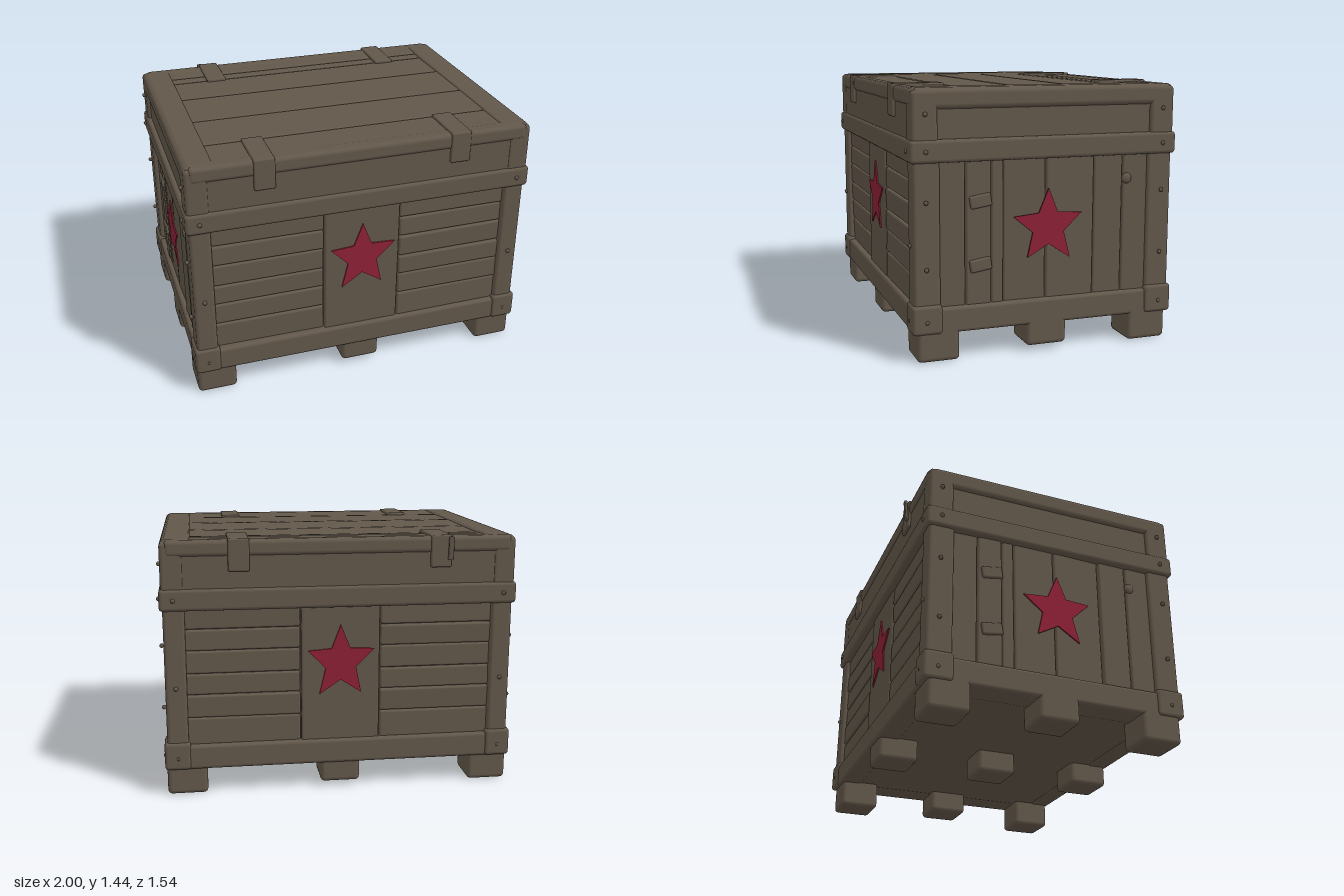
import * as THREE from 'three';
import { RoundedBoxGeometry } from 'three/addons/geometries/RoundedBoxGeometry.js';

const wood = new THREE.MeshStandardMaterial({ color: 0x62574a });
wood.name = 'weathered wood';
const red = new THREE.MeshStandardMaterial({ color: 0x8c2036 });
red.name = 'red paint';

// Small seeded generator for uneven boards
let seed = 7;
const jitter = (amount) => {
  seed = (seed * 16807) % 2147483647;
  return (seed / 2147483647 - 0.5) * 2 * amount;
};

// Rounded board given by its limits on each axis
function board(parent, name, [x0, x1], [y0, y1], [z0, z1], radius = 0.012) {
  const size = [x1 - x0, y1 - y0, z1 - z0];
  const r = Math.min(radius, Math.min(...size) * 0.45);
  const mesh = new THREE.Mesh(new RoundedBoxGeometry(...size, 2, r), wood);
  mesh.position.set((x0 + x1) / 2, (y0 + y1) / 2, (z0 + z1) / 2);
  mesh.name = name;
  parent.add(mesh);
  return mesh;
}

function nail(parent, x, y, z) {
  const mesh = new THREE.Mesh(new THREE.SphereGeometry(0.013, 6, 4), wood);
  mesh.position.set(x, y, z);
  mesh.name = 'nail';
  parent.add(mesh);
}

// Painted star, given by its five tips
function star(parent, tips, z) {
  const cx = tips.reduce((s, p) => s + p[0], 0) / 5;
  const cy = tips.reduce((s, p) => s + p[1], 0) / 5;
  const shape = new THREE.Shape();
  tips.forEach(([x, y], i) => {
    const [nx, ny] = tips[(i + 1) % 5];
    if (i === 0) shape.moveTo(x, y);
    else shape.lineTo(x, y);
    const k = 0.56;
    shape.lineTo(cx + ((x + nx) / 2 - cx) * k, cy + ((y + ny) / 2 - cy) * k);
  });
  shape.closePath();
  const geometry = new THREE.ExtrudeGeometry(shape, { depth: 0.008, bevelEnabled: false });
  const mesh = new THREE.Mesh(geometry, red);
  mesh.position.z = z;
  mesh.name = 'star';
  parent.add(mesh);
}

// Long wall: horizontal slats either side of an upright centre board
function longWall(name) {
  const wall = new THREE.Group();
  wall.name = name;
  const seams = [0.28, 0.44, 0.57, 0.69, 0.82, 0.94, 1.06];
  for (const [x0, x1] of [[-0.86, -0.225], [0.225, 0.86]]) {
    for (let i = 0; i < seams.length - 1; i++) {
      const slat = board(wall, 'slat', [x0, x1], [seams[i] + 0.002, seams[i + 1] - 0.002], [0.66, 0.708 + jitter(0.006)]);
      slat.rotation.set(jitter(0.05), jitter(0.012), 0);
    }
  }
  board(wall, 'centreBoard', [-0.22, 0.22], [0.28, 1.06], [0.66, 0.715]);
  star(wall, [[0, 0.95], [0.19, 0.81], [0.115, 0.56], [-0.12, 0.555], [-0.185, 0.805]], 0.716);
  board(wall, 'bottomRail', [-0.96, 0.96], [0.15, 0.29], [0.6, 0.738], 0.02);
  board(wall, 'lidBand', [-0.985, 0.985], [1.05, 1.17], [0.6, 0.752], 0.02);
  // Straps folded over the lid edge
  for (const x of [-0.555, 0.55]) {
    board(wall, 'strapFront', [x - 0.058, x + 0.058], [1.26, 1.438], [0.72, 0.752], 0.01);
    board(wall, 'strapTop', [x - 0.058, x + 0.058], [1.4, 1.438], [0.46, 0.752], 0.01);
  }
  for (const x of [-0.91, 0.91]) for (const y of [0.22, 0.62, 1.11]) nail(wall, x, y, y > 1 ? 0.752 : 0.74);
  return wall;
}

// Short wall: upright planks with a recessed lid panel above
function shortWall(name) {
  const wall = new THREE.Group();
  wall.name = name;
  const seams = [-0.61, -0.45, -0.28, 0, 0.24, 0.31, 0.45, 0.61].map((s) => -s).reverse();
  for (let i = 0; i < seams.length - 1; i++) {
    const plank = board(wall, 'plank', [seams[i] + 0.002, seams[i + 1] - 0.002], [0.28, 1.06], [0.89, 0.946 + jitter(0.005)]);
    plank.rotation.y = jitter(0.04);
  }
  star(wall, [[0.01, 0.89], [0.2, 0.75], [0.135, 0.505], [-0.11, 0.52], [-0.19, 0.745]], 0.954);
  board(wall, 'bottomRail', [-0.73, 0.73], [0.15, 0.29], [0.8, 0.974], 0.02);
  board(wall, 'lidBand', [-0.75, 0.75], [1.05, 1.17], [0.8, 0.985], 0.02);
  board(wall, 'lidTopRail', [-0.73, 0.73], [1.32, 1.43], [0.85, 0.974], 0.03);
  for (const x of [-0.67, 0.67]) {
    board(wall, 'lidCornerBoard', [x - 0.07, x + 0.07], [1.1, 1.42], [0.85, 0.974], 0.02);
    for (const y of [0.22, 0.5, 0.85, 1.11, 1.3]) nail(wall, x, y, y === 1.11 ? 0.988 : 0.98);
  }
  // Wood knots and loose cleats
  const knot = new THREE.Mesh(new THREE.SphereGeometry(0.03, 12, 8), wood);
  knot.scale.z = 0.5;
  knot.position.set(0.47, 0.92, 0.95);
  knot.name = 'knot';
  wall.add(knot);
  for (const y of [0.5, 0.84]) {
    board(wall, 'cleat', [-0.43, -0.31], [y - 0.035, y + 0.035], [0.93, 0.962]).rotation.z = 0.15;
  }
  return wall;
}

export function createModel() {
  seed = 7;
  const crate = new THREE.Group();
  crate.name = 'crate';

  // Inner body
  board(crate, 'body', [-0.92, 0.92], [0.155, 1.2], [-0.685, 0.685]);
  board(crate, 'lidBody', [-0.955, 0.955], [1.06, 1.415], [-0.735, 0.735], 0.04);

  // Four walls
  const walls = [longWall('frontWall'), shortWall('leftWall'), longWall('backWall'), shortWall('rightWall')];
  walls.forEach((wall, i) => {
    wall.rotation.y = (i * Math.PI) / 2;
    crate.add(wall);
  });

  // Corner posts and their lower caps
  for (const sx of [-1, 1]) {
    for (const sz of [-1, 1]) {
      const span = (s, a, b) => (s > 0 ? [a, b] : [-b, -a]);
      board(crate, 'cornerPost', span(sx, 0.85, 0.968), [0.2, 1.1], span(sz, 0.59, 0.735), 0.02);
      board(crate, 'cornerCap', span(sx, 0.84, 0.984), [0.152, 0.31], span(sz, 0.585, 0.748), 0.02);
    }
  }

  // Lid planks running lengthways, inside a raised border
  const seams = [-0.7, -0.57, -0.49, -0.21, 0.135, 0.46, 0.7];
  for (let i = 0; i < seams.length - 1; i++) {
    const plank = board(crate, 'lidPlank', [-0.88, 0.85], [1.36, 1.424 + jitter(0.003)], [seams[i] + 0.002, seams[i + 1] - 0.002]);
    plank.rotation.x = jitter(0.012);
  }
  for (const s of [-1, 1]) {
    const end = board(crate, 'lidEndBorder', [-0.075, 0.075], [1.35, 1.432], [-0.72, 0.72], 0.02);
    end.position.x = s * 0.885;
    const side = board(crate, 'lidSideBorder', [-0.95, 0.95], [1.34, 1.43], [-0.045, 0.045], 0.025);
    side.position.z = s * 0.7;
  }

  // Bent splinter on the back edge
  const splinter = board(crate, 'splinter', [-0.615, -0.585], [1.3, 1.43], [-0.772, -0.755], 0.006);
  splinter.rotation.x = -0.1;

  // Nine feet; only the corner ones reach the ground
  for (const i of [-1, 0, 1]) {
    for (const j of [-1, 0, 1]) {
      const corner = i !== 0 && j !== 0;
      const foot = board(crate, 'foot', [-0.112, 0.112], [corner ? 0 : 0.03, 0.2], [-0.115, 0.115], 0.025);
      foot.position.x = i * 0.862;
      foot.position.z = j * 0.605;
    }
  }
  return crate;
}
